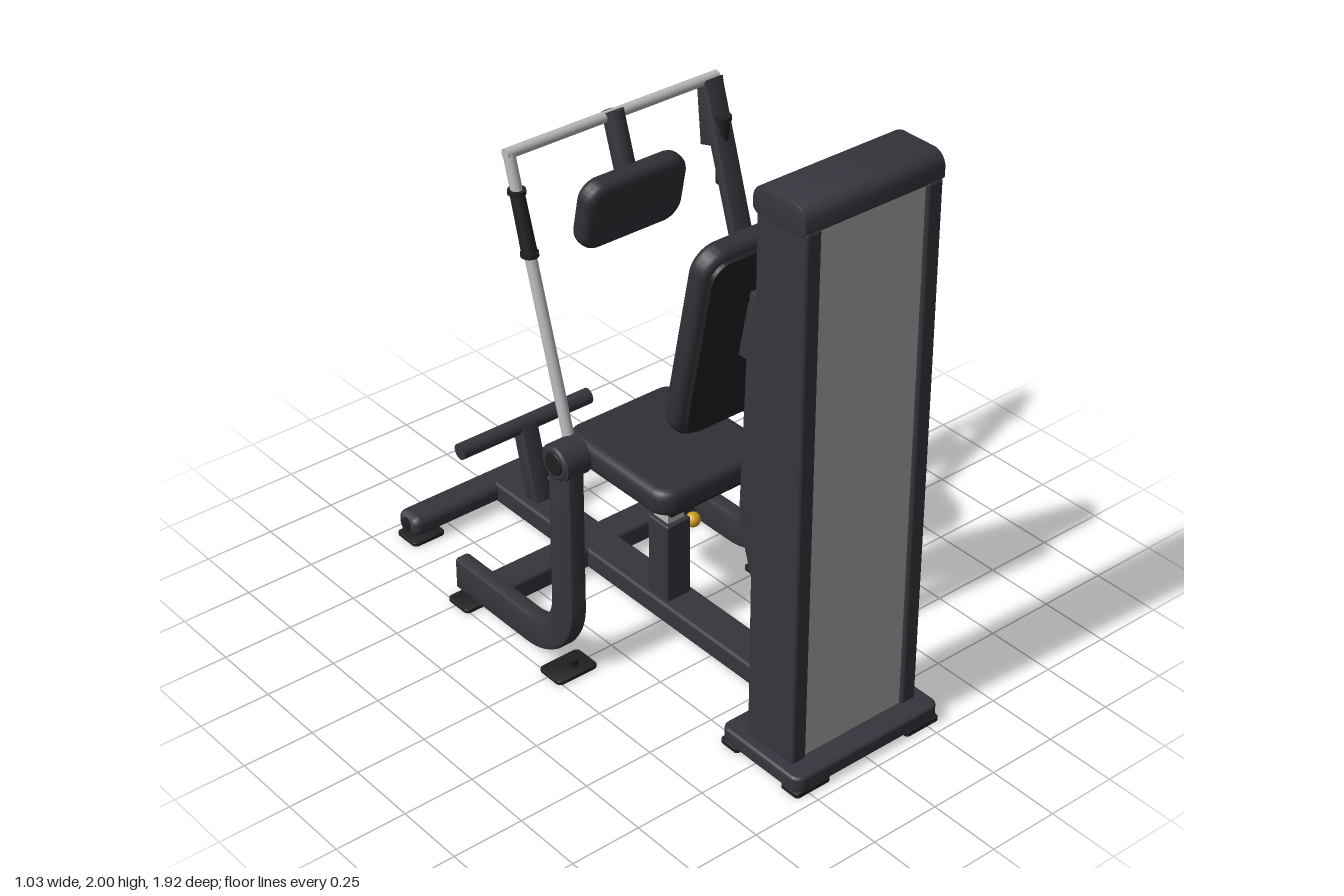
import * as THREE from 'three';
import { toCreasedNormals } from 'three/addons/utils/BufferGeometryUtils.js';
import { RoundedBoxGeometry } from 'three/addons/geometries/RoundedBoxGeometry.js';

const mat = (name, color) => {
  const m = new THREE.MeshStandardMaterial({ color });
  m.name = name;
  return m;
};

export function createModel() {
  const group = new THREE.Group();
  const frame = mat('frame charcoal', 0x36353d);
  const pad = mat('upholstery', 0x303137);
  const black = mat('black rubber', 0x202023);
  const metal = mat('light metal', 0xb9babb);
  const panel = mat('grey panel', 0xa8a9aa);
  const yellow = mat('yellow', 0xd0a020);

  const add = (name, geo, material, x = 0, y = 0, z = 0) => {
    const m = new THREE.Mesh(geo, material);
    m.name = name;
    m.position.set(x, y, z);
    group.add(m);
    return m;
  };
  const rbox = (name, material, x0, x1, y0, y1, z0, z1, r = 0.012) =>
    add(name, new RoundedBoxGeometry(x1 - x0, y1 - y0, z1 - z0, 2, r), material,
      (x0 + x1) / 2, (y0 + y1) / 2, (z0 + z1) / 2);
  // Cylinder between two points
  const rod = (name, material, a, b, r0, r1 = r0, seg = 24) => {
    const va = new THREE.Vector3(...a), d = new THREE.Vector3(...b).sub(va);
    const m = add(name, new THREE.CylinderGeometry(r1, r0, d.length(), seg), material);
    m.position.copy(va).addScaledVector(d, 0.5);
    m.quaternion.setFromUnitVectors(new THREE.Vector3(0, 1, 0), d.normalize());
    return m;
  };
  // Rounded plate in the XY plane with bevelled edges, centred
  const plate = (w, h, t, r, bevel) => {
    const a = w / 2 - bevel, b = h / 2 - bevel, s = new THREE.Shape();
    s.moveTo(-a + r, -b).lineTo(a - r, -b).absarc(a - r, -b + r, r, -Math.PI / 2, 0)
      .lineTo(a, b - r).absarc(a - r, b - r, r, 0, Math.PI / 2)
      .lineTo(-a + r, b).absarc(-a + r, b - r, r, Math.PI / 2, Math.PI)
      .lineTo(-a, -b + r).absarc(-a + r, -b + r, r, Math.PI, Math.PI * 1.5);
    const g = new THREE.ExtrudeGeometry(s, { depth: t - 2 * bevel, bevelSize: bevel,
      bevelThickness: bevel, bevelSegments: 4, curveSegments: 8 });
    g.translate(0, 0, -t / 2 + bevel);
    return toCreasedNormals(g, 0.6);
  };
  const flat = (w, d, t, r, bevel) => plate(w, d, t, r, bevel).rotateX(-Math.PI / 2);
  // Side profile (horizontal = -z, vertical = y) extruded across x, centred
  const side = (shape, width, bevel = 0.008) => {
    const g = new THREE.ExtrudeGeometry(shape, { depth: width - 2 * bevel, bevelSize: bevel,
      bevelOffset: -bevel, bevelThickness: bevel, bevelSegments: 2, curveSegments: 12 });
    g.translate(0, 0, -width / 2 + bevel).rotateY(Math.PI / 2);
    return toCreasedNormals(g, 0.6);
  };

  // Tower
  add('towerBase', flat(0.6, 0.36, 0.055, 0.025, 0.01), frame, 0, 0.043, 0.78);
  for (const s of [-1, 1]) {
    rbox('towerColumn', frame, s * 0.23 - 0.03, s * 0.23 + 0.03, 0.065, 1.92, 0.68, 0.89);
    for (const z of [0.64, 0.92])
      add('towerFoot', flat(0.14, 0.08, 0.018, 0.01, 0.003), black, s * 0.23, 0.009, z);
  }
  const cap = new THREE.Shape();
  cap.moveTo(-0.89, 1.92).lineTo(-0.875, 1.905).lineTo(-0.685, 1.905).lineTo(-0.67, 1.92)
    .lineTo(-0.67, 1.95).absarc(-0.72, 1.95, 0.05, 0, Math.PI / 2)
    .lineTo(-0.84, 2).absarc(-0.84, 1.95, 0.05, Math.PI / 2, Math.PI);
  add('towerCap', side(cap, 0.53, 0.006), frame);
  add('frontPanel', new THREE.BoxGeometry(0.41, 1.84, 0.012), panel, 0, 0.99, 0.872);
  add('rearPanel', new THREE.BoxGeometry(0.41, 0.57, 0.012), panel, 0, 1.625, 0.715);

  // Weight stack
  for (let i = 0; i < 13; i++)
    add('weightPlate', new THREE.BoxGeometry(0.37, 0.029, 0.11), black, 0, 0.09 + i * 0.036, 0.765);
  add('topWeightPlate', new THREE.BoxGeometry(0.37, 0.045, 0.12), metal, 0, 0.567, 0.765);
  for (const x of [-0.1, 0, 0.1])
    rod('stackRod', metal, [x, 0.58, 0.765], [x, 0.68, 0.765], 0.016);
  rod('selectorStem', metal, [0, 0.485, 0.71], [0, 0.485, 0.67], 0.008);
  rod('selectorPin', yellow, [0, 0.485, 0.682], [0, 0.485, 0.645], 0.015);

  // Floor frame
  rbox('mainRail', frame, -0.068, 0.068, 0.03, 0.105, -0.88, 0.62);
  rbox('rearCrossbar', frame, -0.42, 0.42, 0.03, 0.105, -0.96, -0.85, 0.03);
  rbox('middleCrossbar', frame, -0.43, 0.43, 0.03, 0.105, -0.465, -0.35);
  for (const s of [-1, 1]) {
    rod('crossbarEndCap', black, [s * 0.415, 0.068, -0.905], [s * 0.424, 0.068, -0.905], 0.025);
    for (const [x, z] of [[0.435, 0.01], [0.435, -0.487], [0.36, -0.905]]) {
      add('foot', flat(x < 0.4 ? 0.13 : 0.16, 0.11, 0.014, 0.015, 0.003), black, s * x, 0.008, z);
      rod('footStem', black, [s * Math.min(x, 0.42), 0.01, z], [s * Math.min(x, 0.42), 0.04, z], 0.02);
    }
  }

  // Foot bar
  rod('footBar', frame, [-0.275, 0.37, -0.775], [0.275, 0.37, -0.775], 0.029);
  const footPost = new THREE.Shape();
  footPost.moveTo(0.668, 0.09).lineTo(0.733, 0.09).lineTo(0.803, 0.36).lineTo(0.745, 0.375);
  add('footBarPost', side(footPost, 0.07), frame);

  // Curved side uprights, mirrored, with pivot housings
  const up = new THREE.Shape();
  up.moveTo(-0.075, 0.82).lineTo(-0.075, 0.27).absarc(0.175, 0.27, 0.25, Math.PI, Math.PI * 1.5)
    .lineTo(0.56, 0.02).lineTo(0.56, 0.135).lineTo(0.175, 0.135)
    .absarc(0.175, 0.275, 0.14, Math.PI * 1.5, Math.PI, true)
    .lineTo(0.035, 0.82).absarc(-0.02, 0.82, 0.055, 0, Math.PI);
  for (const s of [-1, 1]) {
    add('sideUpright', side(up, 0.064, 0.014), frame, s * 0.435);
    rod('pivotHousing', frame, [s * 0.385, 0.82, 0.02], [s * 0.475, 0.82, 0.02], 0.065, 0.065, 32);
    rod('pivotRim', frame, [s * 0.475, 0.82, 0.02], [s * 0.481, 0.82, 0.02], 0.058, 0.05, 32);
    rod('pivotCap', black, [s * 0.48, 0.82, 0.02], [s * 0.486, 0.82, 0.02], 0.04, 0.038, 32);
  }

  // Seat and its post
  add('seatCushion', flat(0.47, 0.52, 0.095, 0.04, 0.03), pad, 0, 0.655, -0.01);
  add('seatPlate', new THREE.BoxGeometry(0.36, 0.025, 0.45), black, 0, 0.605, -0.005);
  rbox('seatPost', frame, -0.05, 0.05, 0.09, 0.4, -0.055, 0.045, 0.008);
  add('seatSlider', new THREE.BoxGeometry(0.068, 0.24, 0.068), metal, 0, 0.49, -0.005);
  rod('seatKnobStem', metal, [0.045, 0.34, -0.005], [0.085, 0.34, -0.005], 0.012);
  add('seatKnob', new THREE.SphereGeometry(0.026, 20, 14), yellow, 0.1, 0.34, -0.005);

  // Backrest and its bent post
  const post = new THREE.Shape();
  post.moveTo(-0.635, 0.11).lineTo(-0.545, 0.09).lineTo(-0.385, 0.56)
    .quadraticCurveTo(-0.372, 0.6, -0.374, 0.66).lineTo(-0.405, 1.44).lineTo(-0.485, 1.44)
    .lineTo(-0.464, 0.68).quadraticCurveTo(-0.462, 0.63, -0.475, 0.6);
  add('backrestPost', side(post, 0.075), frame);
  const back = new THREE.Group();
  back.name = 'backrest';
  back.position.set(0, 1.275, 0.325);
  back.rotation.x = 0.2;
  const cushion = new THREE.Mesh(plate(0.45, 0.72, 0.08, 0.06, 0.03), pad);
  cushion.name = 'backCushion';
  cushion.position.z = -0.004;
  const shell = new THREE.Mesh(plate(0.4, 0.66, 0.02, 0.06, 0.004), black);
  shell.name = 'backShell';
  shell.position.z = 0.04;
  back.add(cushion, shell);
  group.add(back);
  add('backrestBracket', new THREE.BoxGeometry(0.07, 0.2, 0.1), frame, 0, 1.3, 0.385);

  // Driven arm with round cam
  const arm = new THREE.Shape();
  arm.moveTo(-0.04, 0.81).lineTo(0.0, 0.8).lineTo(0.3, 1.74).lineTo(0.255, 1.75);
  add('driveArm', side(arm, 0.074, 0.01), frame, 0.392);
  const armEnd = new THREE.Shape();
  armEnd.moveTo(0.225, 1.535).lineTo(0.28, 1.52).lineTo(0.302, 1.74).lineTo(0.255, 1.752);
  add('armEnd', side(armEnd, 0.076, 0.008), frame, 0.392);
  rod('camDisc', black, [0.337, 0.82, 0.02], [0.364, 0.82, 0.02], 0.18, 0.18, 48);
  rod('camHub', metal, [0.324, 0.82, 0.02], [0.338, 0.82, 0.02], 0.063, 0.063, 32);
  rod('camAxle', frame, [0.36, 0.82, 0.02], [0.39, 0.82, 0.02], 0.05);

  // Light arm and top bar
  rod('topBar', metal, [-0.41, 1.745, -0.277], [0.42, 1.745, -0.277], 0.018);
  rod('lightArm', metal, [-0.396, 1.745, -0.277], [-0.396, 0.82, 0.0], 0.019);

  // Hand grips with flared ends
  rod('grip', black, [-0.396, 1.44, -0.187], [-0.396, 1.63, -0.243], 0.025, 0.023);
  rod('grip', black, [0.392, 1.4, -0.215], [0.392, 1.63, -0.215], 0.02, 0.022);
  for (const [x, y, z] of [[-0.396, 1.44, -0.187], [-0.396, 1.63, -0.243], [0.392, 1.63, -0.215]])
    rod('gripFlange', black, [x, y - 0.007, z], [x, y + 0.007, z], 0.029);
  rod('gripBracket', frame, [0.392, 1.58, -0.21], [0.392, 1.6, -0.25], 0.016);

  // Chest pad hung from the top bar
  rod('padHanger', frame, [0, 1.76, -0.275], [0, 1.53, -0.2], 0.035);
  const chest = add('chestPad', plate(0.4, 0.25, 0.075, 0.04, 0.03), pad, 0, 1.485, -0.195);
  chest.rotation.x = 0.2;

  return group;
}
